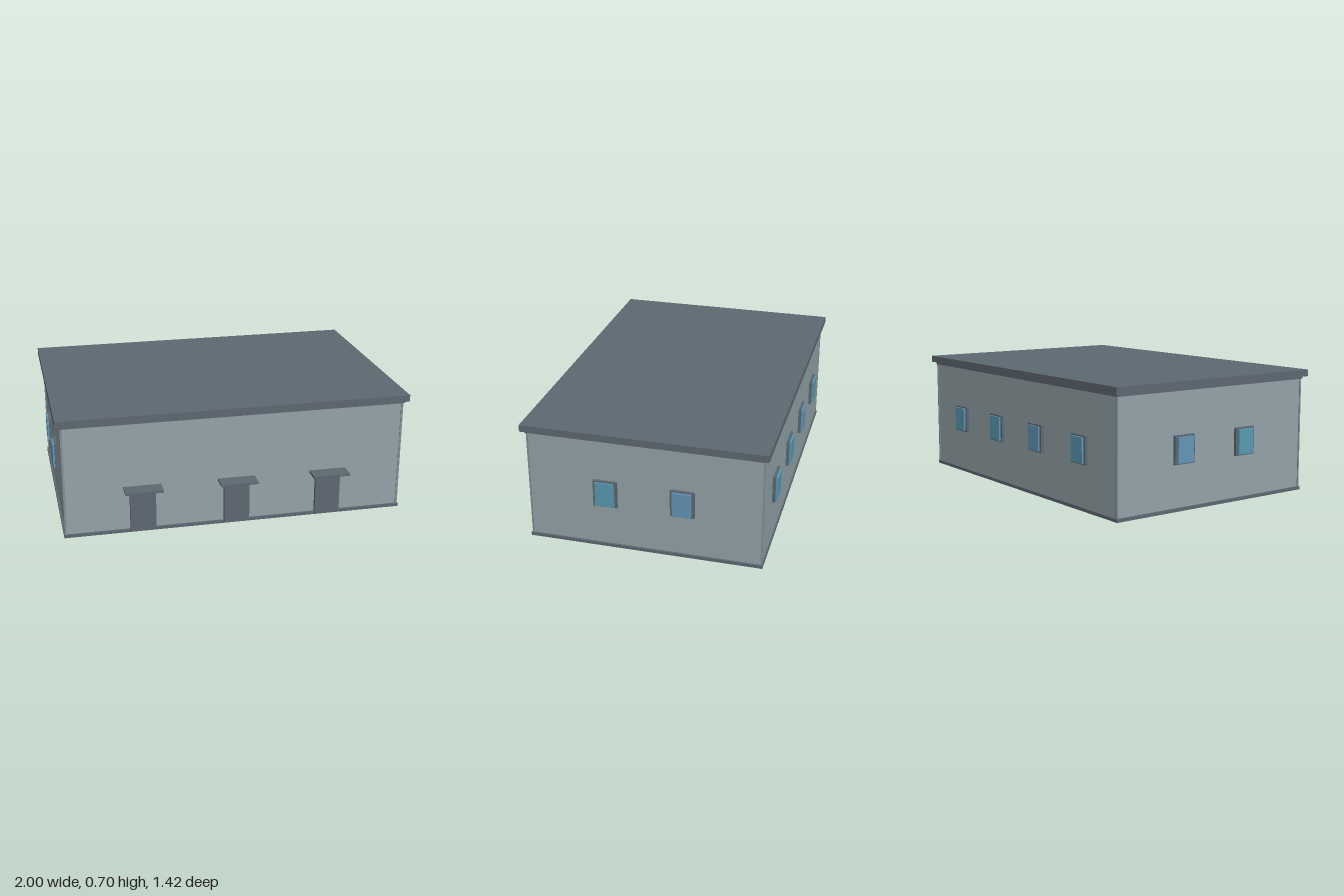
import * as THREE from 'three';

const material = (color) => new THREE.MeshStandardMaterial({ color });

export function createModel() {
  const model = new THREE.Group();
  const wall = material(0x93a3a8);
  const post = material(0x82929a);
  const trim = material(0x5e6872);
  const teal = material(0x5a9ab2);
  const blue = material(0x6496b8);

  // Box given by its lower and upper corners
  function box(name, mat, min, max, parent = model) {
    const size = max.map((v, i) => v - min[i]);
    const mesh = new THREE.Mesh(new THREE.BoxGeometry(...size), mat);
    mesh.position.set(...max.map((v, i) => (v + min[i]) / 2));
    mesh.name = name;
    parent.add(mesh);
    return mesh;
  }

  const X = 0.967, FRONT = 0.615, BACK = -0.683;
  const MID = (FRONT + BACK) / 2;

  // Main volume, plinth, cornice and flat roof
  box('walls', wall, [-X, 0.01, BACK], [X, 0.65, FRONT]);
  box('plinth', trim, [-0.978, 0, BACK - 0.008], [0.978, 0.018, FRONT + 0.01]);
  box('cornice', trim, [-0.978, 0.645, BACK - 0.008], [0.978, 0.662, FRONT + 0.01]);
  box('roof', trim, [-1, 0.66, -0.71], [1, 0.698, 0.645]);

  // Slim corner posts standing just proud of the walls
  for (const x of [-X, X]) {
    for (const z of [BACK, FRONT]) {
      box('cornerPost', post, [x - 0.006, 0.018, z - 0.004], [x + 0.006, 0.645, z + 0.004]);
    }
  }

  // Doors with canopies along the front
  for (const x of [-0.535, 0, 0.535]) {
    const entrance = new THREE.Group();
    entrance.name = 'entrance';
    entrance.position.x = x;
    box('door', trim, [-0.073, 0.01, FRONT - 0.01], [0.073, 0.248, 0.635], entrance);
    box('canopy', trim, [-0.106, 0.263, FRONT - 0.01], [0.106, 0.275, 0.71], entrance);
    model.add(entrance);
  }

  // Window facing local +z: a frame with a raised glass pane
  function addWindow(x, z, angle, glass) {
    const group = new THREE.Group();
    group.name = 'window';
    box('windowFrame', trim, [-0.067, -0.078, -0.01], [0.067, 0.078, 0.016], group);
    box('windowGlass', glass, [-0.053, -0.07, 0], [0.053, 0.07, 0.027], group);
    group.position.set(x, 0.332, z);
    group.rotation.y = angle;
    model.add(group);
  }

  // Two windows on each side, four along the back
  for (const side of [-1, 1]) {
    addWindow(side * X, MID + 0.215, side * Math.PI / 2, teal);
    addWindow(side * X, MID - 0.215, side * Math.PI / 2, blue);
  }
  [0.64, 0.213, -0.213, -0.64].forEach((x, i) => {
    addWindow(x, BACK, Math.PI, i === 2 ? blue : teal);
  });

  return model;
}
